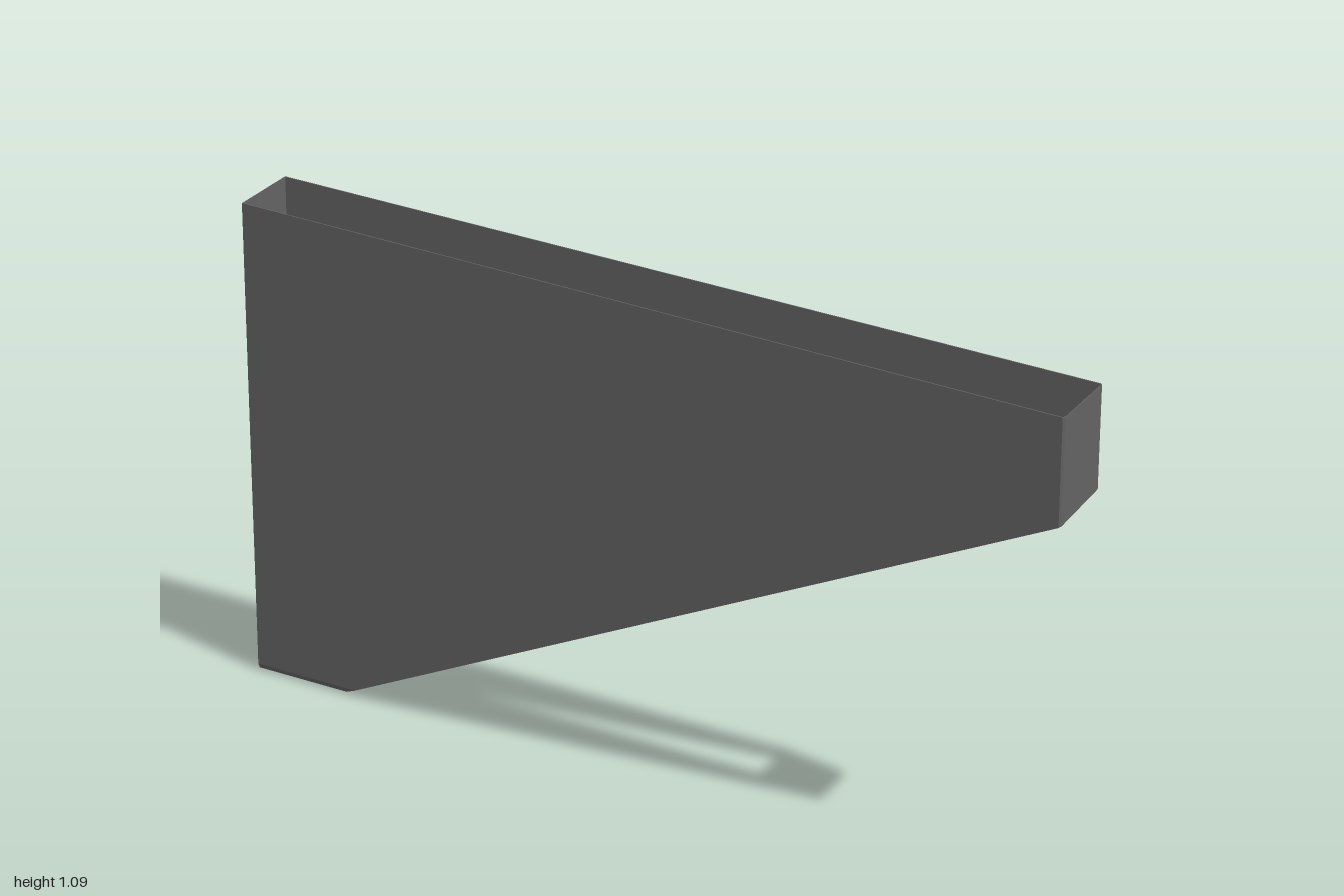
import * as THREE from 'three';

const W = 0.069;      // half width
const C = 0.004;      // softening of the front corners
const T = 0.002;      // sheet thickness
const SLOPE = 0.415;  // rise of the slanted lower opening along z

// Slanted planes that trim the top rim and the lower front rim
const topY = (x, z) => 0.953 + 0.235 * x + 0.058 * (1 - z);
const lowY = (x, z) => 0.748 + 0.29 * x + SLOPE * (z - 1);
const lowZ = (x, y) => 1 + (y - 0.748 - 0.29 * x) / SLOPE;

const material = new THREE.MeshStandardMaterial({ color: 0x636363, side: THREE.DoubleSide });

// Panel spanned between two polylines of equal length
function panel(name, a, b) {
  const pos = [];
  for (let i = 0; i < a.length - 1; i++) {
    for (const p of [a[i], b[i], b[i + 1], a[i], b[i + 1], a[i + 1]]) pos.push(...p);
  }
  const geometry = new THREE.BufferGeometry();
  geometry.setAttribute('position', new THREE.Float32BufferAttribute(pos, 3));
  geometry.computeVertexNormals();
  const mesh = new THREE.Mesh(geometry, material);
  mesh.name = name;
  return mesh;
}

// One skin of the sheet, moved inward by t, with its two rim outlines
function createSkin(name, t) {
  const group = new THREE.Group();
  group.name = name;
  const w = W - t, zFront = 1 - t, zBack = -1 + t, rimY = 0.014;

  // Cross-section of the floor, with rounded lower edges
  const floor = [[-w, rimY], [-w + 0.004, 0.004 + t], [-w + 0.012, t],
    [w - 0.012, t], [w - 0.004, 0.004 + t], [w, rimY]];
  const top = ([x, z]) => [x, topY(x, z), z];
  const bottom = ([x, z]) => [x, Math.max(rimY, lowY(x, z)), z];

  // Side walls: straight along the floor, then rising to the front
  for (const s of [-1, 1]) {
    const x = s * w;
    const path = [[x, zBack], [x, lowZ(x, rimY)], [x, zFront - C]];
    if (s > 0) path.reverse();
    group.add(panel(s > 0 ? 'leftWall' : 'rightWall', path.map(top), path.map(bottom)));
  }

  // Short front wall with softened vertical corners
  const front = [[-w, zFront - C], [-w + C, zFront], [w - C, zFront], [w, zFront - C]];
  group.add(panel('frontWall', front.map(top), front.map(bottom)));

  // Tall back wall following the floor cross-section
  const back = [...floor].reverse();
  const backTop = back.map(([x]) => top([x, zBack]));
  group.add(panel('backWall', backTop, back.map(([x, y]) => [x, y, zBack])));

  // Small floor plate, cut off at a skew by the slanted opening
  const floorEdge = floor.map(([x, y]) => [x, y, lowZ(x, y)]);
  group.add(panel('floorPlate', floorEdge, floor.map(([x, y]) => [x, y, zBack])));

  const topRim = [...front.map(top), ...backTop, top(front[0])];
  const lowerRim = [...floorEdge, ...front.map(bottom).reverse(), floorEdge[0]];
  return { group, topRim, lowerRim };
}

export function createModel() {
  const group = new THREE.Group();
  group.name = 'taperedOpenShell';

  const outer = createSkin('outerSkin', 0);
  const inner = createSkin('innerSkin', T);
  group.add(outer.group, inner.group);

  // Narrow edges joining the skins around both openings
  group.add(panel('topRim', inner.topRim, outer.topRim));
  group.add(panel('lowerRim', inner.lowerRim, outer.lowerRim));

  return group;
}
